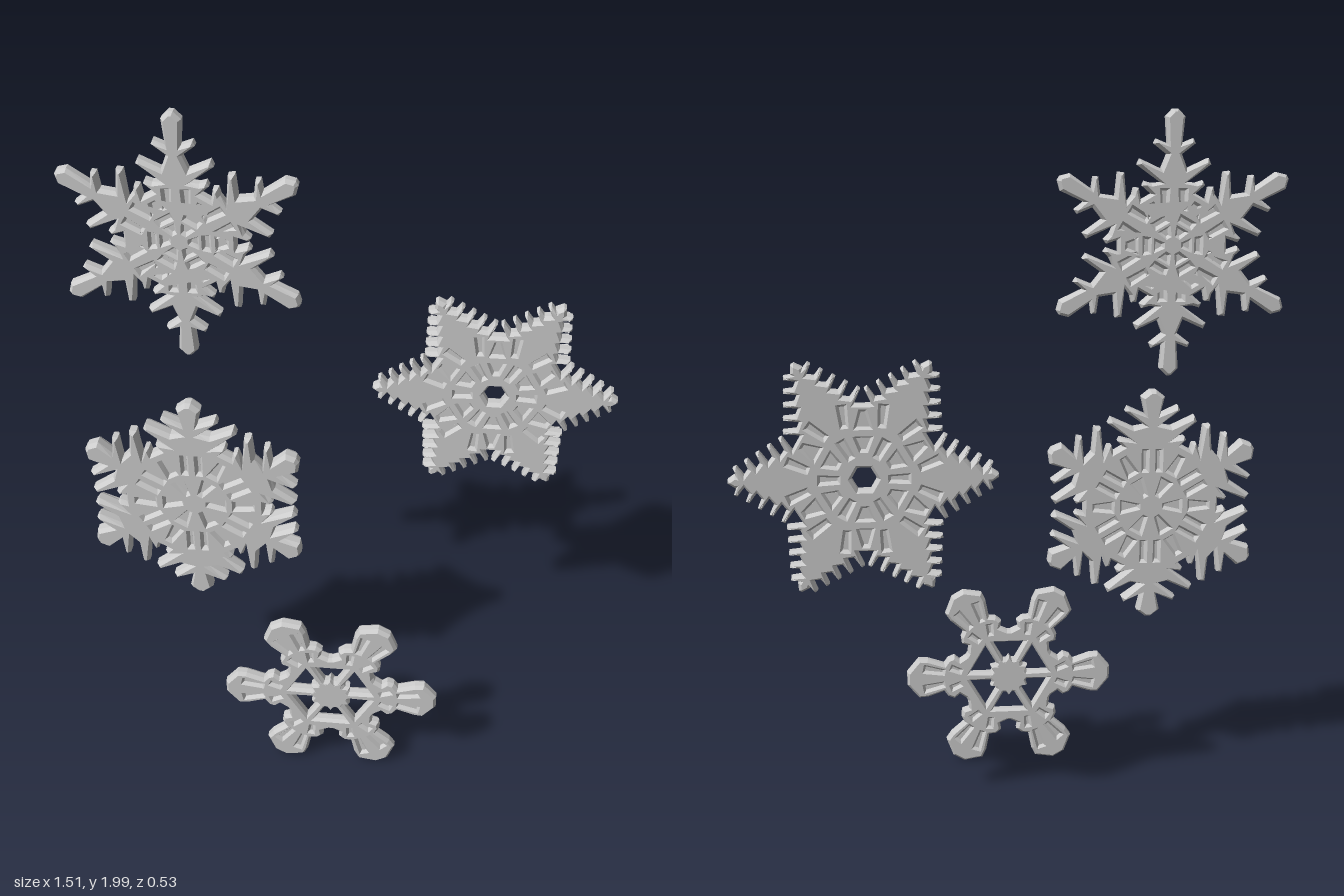
import * as THREE from 'three';

const material = new THREE.MeshStandardMaterial({ color: 0xcccccc, flatShading: true, side: THREE.DoubleSide });
const sixth = Math.PI / 3;

const rotate = ([u, v], a) =>
  new THREE.Vector2(u * Math.cos(a) - v * Math.sin(a), u * Math.sin(a) + v * Math.cos(a));

// One side of an arm, tip to valley, as [along, across]. Each barb leaves at 60 degrees:
// [tip along, tip across, half thickness, root across].
function barbedArm(radius, tipWidth, barbs) {
  const pts = [[radius, tipWidth / 4], [radius - 0.02, tipWidth]];
  for (const [u, v, w, root] of barbs) {
    const base = u - (v - root) / Math.tan(sixth);
    pts.push([base + w, root], [u + w * 0.4, v - w * 0.4], [u - w * 0.5, v], [base - w, root]);
  }
  return pts;
}

// Repeats and mirrors the half arm into the whole six-fold outline.
function outline(half, start) {
  const pts = [];
  for (let k = 0; k < 6; k++) {
    const a = start + k * sixth;
    half.forEach(p => pts.push(rotate(p, a)));
    [...half].reverse().forEach(([u, v]) => pts.push(rotate([u, -v], a + sixth)));
  }
  return pts;
}

// Tapered slits on every arm, mirrored when beside the axis.
// Each is [angle offset, start along, across, end along, across, start width, end width].
function slits(list, start) {
  const result = [];
  for (const [off, u0, v0, u1, v1, w0, w1] of list) {
    const len = Math.hypot(u1 - u0, v1 - v0) * 2;
    const nx = (v0 - v1) / len, ny = (u1 - u0) / len;
    const quad = [
      [u0 - nx * w0, v0 - ny * w0], [u1 - nx * w1, v1 - ny * w1],
      [u1 + nx * w1, v1 + ny * w1], [u0 + nx * w0, v0 + ny * w0],
    ];
    for (const side of v0 ? [1, -1] : [1]) {
      for (let k = 0; k < 6; k++) {
        const a = start + THREE.MathUtils.degToRad(off) + k * sixth;
        const pts = quad.map(([u, v]) => rotate([u, v * side], a));
        result.push(side > 0 ? pts : pts.reverse());
      }
    }
  }
  return result;
}

// Flat plate centred on z = 0, with chamfered rims when bevel is given.
function slab(name, shapes, depth, bevel) {
  const thick = bevel ? depth * 0.28 : 0;
  const geo = new THREE.ExtrudeGeometry(shapes, {
    depth: depth - 2 * thick, bevelEnabled: bevel > 0, bevelSegments: 1,
    bevelThickness: thick, bevelSize: bevel, bevelOffset: -bevel,
  });
  geo.translate(0, 0, thick - depth / 2);
  const mesh = new THREE.Mesh(geo, material);
  mesh.name = name;
  return mesh;
}

function snowflake({ name, at, start, depth, half, grooves, openings = [] }) {
  const group = new THREE.Group();
  group.name = name;
  group.position.set(...at);
  const plate = new THREE.Shape(outline(half, start));
  const sunk = slits(grooves, start);
  plate.holes = [...sunk, ...openings].map(p => new THREE.Path(p));
  group.add(slab('crystalPlate', plate, depth, 0.008));
  // groove floors, seen from both faces
  group.add(slab('grooveFloors', sunk.map(p => new THREE.Shape(p)), depth * 0.45, 0));
  return group;
}

export function createModel() {
  const model = new THREE.Group();
  model.name = 'snowflakes';

  // top: slender star
  model.add(snowflake({
    name: 'starSnowflake', at: [-0.445, 1.64, -0.04], start: Math.PI / 2, depth: 0.044,
    half: barbedArm(0.358, 0.026, [
      [0.275, 0.056, 0.014, 0.02], [0.222, 0.1, 0.018, 0.035], [0.165, 0.085, 0.014, 0.06],
    ]),
    grooves: [
      [30, 0.03, 0, 0.046, 0, 0.006, 0.022],
      [30, 0.066, 0, 0.076, 0, 0.032, 0.036],
      [30, 0.1, 0, 0.122, 0, 0.03, 0.012],
      [0, 0.1, 0.025, 0.145, 0.025, 0.008, 0.012],
    ],
  }));

  // middle left: broad branching fans
  model.add(snowflake({
    name: 'fanSnowflake', at: [-0.43, 0.87, 0.09], start: Math.PI / 2, depth: 0.052,
    half: barbedArm(0.343, 0.034, [
      [0.29, 0.08, 0.016, 0.022], [0.258, 0.13, 0.02, 0.055], [0.2, 0.1, 0.012, 0.085],
    ]),
    grooves: [
      [30, 0.04, 0, 0.085, 0, 0.005, 0.028],
      [30, 0.115, 0, 0.165, 0, 0.022, 0.01],
      [0, 0.11, 0.02, 0.165, 0.02, 0.007, 0.008],
    ],
  }));

  // right: fern with evenly growing barbs and a hexagonal hole
  const fernBarbs = Array.from({ length: 5 }, (_, i) =>
    [0.335 - 0.03 * i, 0.04 + 0.019 * i, 0.01, 0.016 + 0.016 * i]);
  model.add(snowflake({
    name: 'fernSnowflake', at: [0.397, 1.065, -0.245], start: 0, depth: 0.046,
    half: barbedArm(0.354, 0.018, fernBarbs),
    grooves: [
      [30, 0.08, 0, 0.11, 0, 0.012, 0.038],
      [30, 0.14, 0, 0.18, 0, 0.034, 0.01],
      [0, 0.07, 0, 0.115, 0, 0.008, 0.014],
      [0, 0.15, 0.03, 0.195, 0.05, 0.008, 0.014],
    ],
    openings: [outline([[0.034, 0]], 0).filter((_, i) => i % 2 === 0)],
  }));

  // bottom: open ring on thin spokes, with blade-shaped arms
  const ring = snowflake({
    name: 'ringSnowflake', at: [-0.03, 0.285, 0.245], start: 0, depth: 0.038,
    half: [[0.314, 0.02], [0.278, 0.064], [0.25, 0.062], [0.2, 0.045],
      [0.188, 0.062], [0.168, 0.07], [0.152, 0.056], [0.132, 0.07]],
    grooves: [
      [0, 0.205, 0.021, 0.258, 0.032, 0.006, 0.014],
      [0, 0.152, 0.022, 0.175, 0.032, 0.005, 0.008],
    ],
    openings: slits([[30, 0.055, 0, 0.112, 0, 0.034, 0.1]], 0),
  });
  // jagged hub
  const star = Array.from({ length: 24 }, (_, i) => rotate([i % 2 ? 0.05 : 0.066, 0], i * Math.PI / 12));
  ring.add(slab('hub', new THREE.Shape(star), 0.04, 0.004));
  model.add(ring);
  return model;
}
